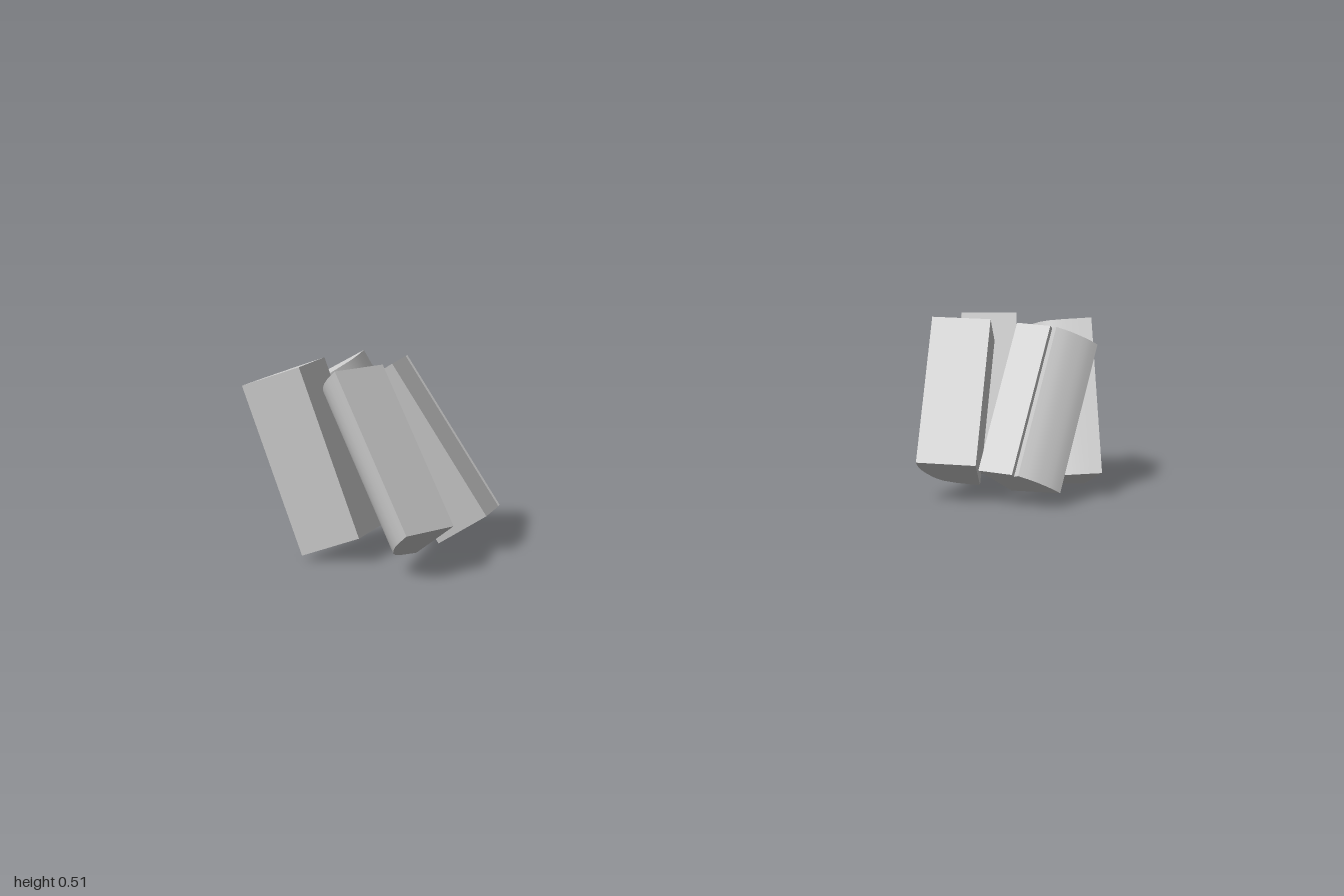
import * as THREE from 'three';
import { toCreasedNormals } from 'three/addons/utils/BufferGeometryUtils.js';

const material = new THREE.MeshStandardMaterial({ color: 0xcccccc });

// Each split log: upper cap seen from above as [x, z] (split edge, extra sharp
// corners, then points along the bark), the height y of the first bark or split
// point named by "at", and the lean vector from upper to lower cap.
const backPile = [
  { split: [0.535, -0.785], at: [0.535, -0.785], y: 0.495, lean: [0.043, -0.44, 0.155],
    bark: [[0.497, -0.94], [0.6, -0.94], [0.66, -0.89], [0.695, -0.825]] },
  { split: [0.85, -0.94], at: [0.924, -0.8], y: 0.495, lean: [0.072, -0.435, 0.162],
    bark: [[0.7, -0.855], [0.735, -0.805], [0.8, -0.775], [0.924, -0.8]] },
  { split: [0.652, -0.652], at: [0.652, -0.652], y: 0.497, lean: [0.02, -0.39, 0.258],
    bark: [[0.48, -0.636], [0.486, -0.684], [0.534, -0.748], [0.64, -0.775]] },
  { split: [0.807, -0.764], at: [0.835, -0.64], y: 0.485, lean: [-0.055, -0.4, 0.24],
    corners: [[0.73, -0.657], [0.832, -0.637], [0.836, -0.648]],
    bark: [[0.85, -0.636], [0.89, -0.651], [0.935, -0.68], [0.96, -0.705]] },
];
const frontPile = [
  { split: [-1, 0.49], at: [-0.855, 0.41], y: 0.485, lean: [0.203, -0.41, -0.075],
    bark: [[-0.855, 0.41], [-0.84, 0.5], [-0.865, 0.58], [-0.913, 0.635]] },
  { split: [-0.8, 0.63], at: [-0.66, 0.63], y: 0.49, lean: [0.24, -0.4, -0.045],
    corners: [[-0.66, 0.63], [-0.67, 0.53], [-0.682, 0.525]],
    bark: [[-0.675, 0.51], [-0.695, 0.482], [-0.74, 0.46], [-0.8, 0.454]] },
  { split: [-0.84, 0.8], at: [-0.84, 0.8], y: 0.497, lean: [0.15, -0.443, -0.015],
    bark: [[-1, 0.813], [-0.983, 0.737], [-0.913, 0.645], [-0.86, 0.625]] },
  { split: [-0.657, 0.69], at: [-0.657, 0.69], y: 0.497, lean: [0.238, -0.389, 0.098],
    bark: [[-0.785, 0.646], [-0.8, 0.737], [-0.766, 0.805], [-0.716, 0.84]] },
];

function splitLog({ split, at, y, lean, corners = [], bark }) {
  const vec = ([a, b]) => new THREE.Vector2(a, b);
  const curve = new THREE.SplineCurve(bark.map(vec)).getPoints(9);
  const apex = vec(split);
  let rim = [...corners.map(vec), ...curve];
  if (THREE.ShapeUtils.area([apex, ...rim]) > 0) rim = rim.reverse();

  // Caps are square to the lean of the log
  const d = new THREE.Vector3(...lean);
  const top = [apex, ...rim].map((p) => new THREE.Vector3(
    p.x, y - (d.x * (p.x - at[0]) + d.z * (p.y - at[1])) / d.y, p.y));
  const low = top.map((p) => p.clone().add(d));

  const tris = [];
  const n = top.length;
  for (let i = 0; i < n; i++) {
    const j = (i + 1) % n;
    tris.push(top[i], low[i], low[j], top[i], low[j], top[j]);
    if (i > 0 && j > 0) tris.push(top[0], top[i], top[j], low[0], low[j], low[i]);
  }
  const geometry = new THREE.BufferGeometry().setFromPoints(tris);
  return new THREE.Mesh(toCreasedNormals(geometry, 0.6), material);
}

function logPile(name, logs) {
  const pile = new THREE.Group();
  pile.name = name;
  logs.forEach((log, i) => {
    const mesh = splitLog(log);
    mesh.name = `splitLog${i + 1}`;
    pile.add(mesh);
  });
  return pile;
}

export function createModel() {
  const model = new THREE.Group();
  model.name = 'firewood';
  model.add(logPile('backPile', backPile), logPile('frontPile', frontPile));
  return model;
}
